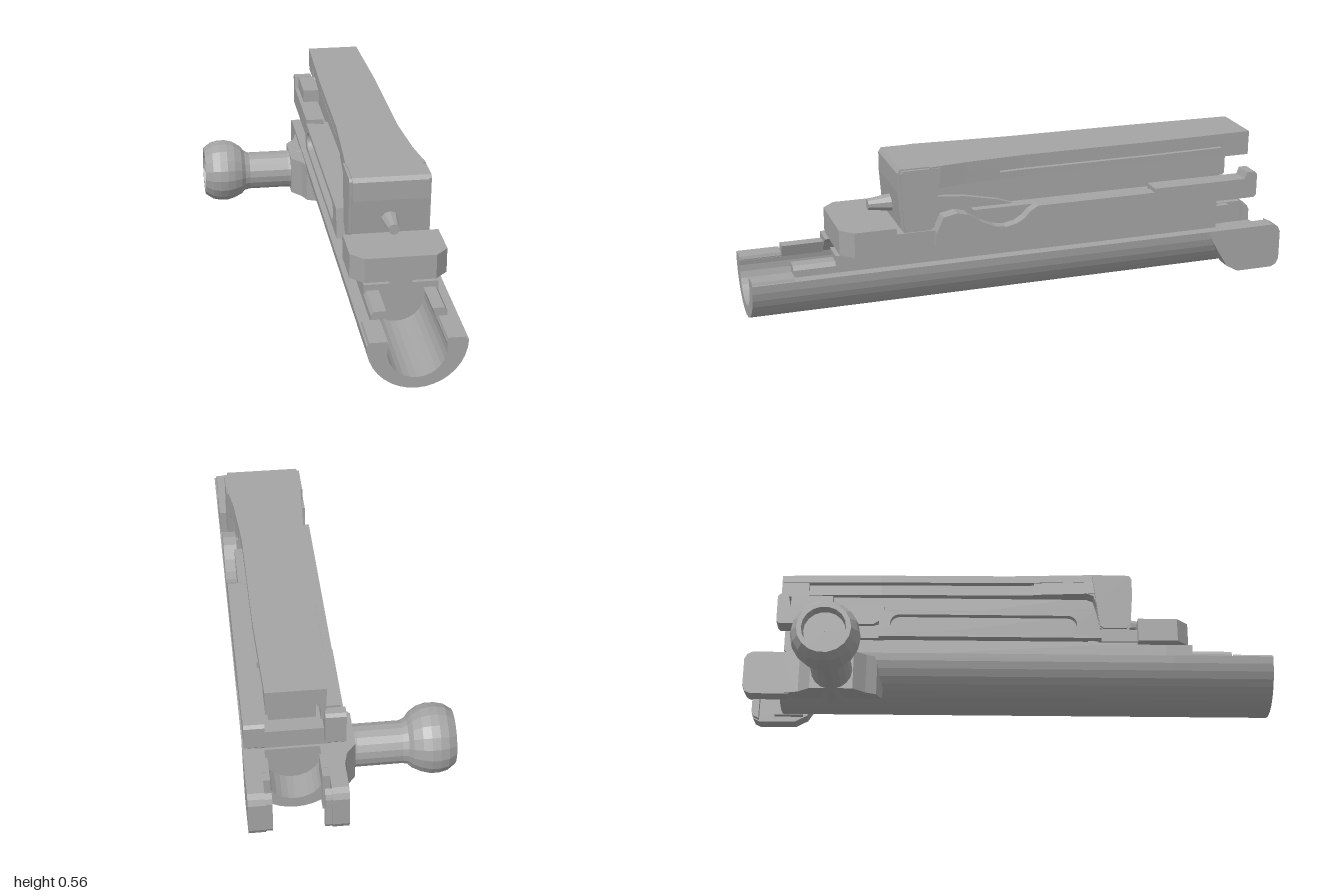
import * as THREE from 'three';

const steel = new THREE.MeshStandardMaterial({ color: 0xa4a4a4, flatShading: true, side: THREE.DoubleSide });
steel.name = 'steel grey';

export function createModel() {
  const group = new THREE.Group();
  const add = (name, geo) => {
    const mesh = new THREE.Mesh(geo, steel);
    mesh.name = name;
    group.add(mesh);
    return mesh;
  };
  const box = (name, x0, x1, y0, y1, z0, z1) =>
    add(name, new THREE.BoxGeometry(x1 - x0, y1 - y0, z1 - z0).translate((x0 + x1) / 2, (y0 + y1) / 2, (z0 + z1) / 2));
  const poly = (pts) => new THREE.Shape(pts.map(([a, b]) => new THREE.Vector2(a, b)));
  const extrude = (shape, depth) => new THREE.ExtrudeGeometry(shape, { depth, bevelEnabled: false, curveSegments: 16 });
  // Side profile of (z, y) points, running along x
  const sideShape = (pts) => poly(pts.map(([z, y]) => [-z, y]));
  const alongX = (name, shape, x0, x1) => add(name, extrude(shape, x1 - x0).rotateY(Math.PI / 2).translate(x0, 0, 0));
  // Plan outline of (x, z) points, running along y
  const alongY = (name, pts, y0, y1) =>
    add(name, extrude(poly(pts.map(([x, z]) => [x, -z])), y1 - y0).rotateX(-Math.PI / 2).translate(0, y0, 0));
  // Cross-section of (x, y) points, running along z
  const alongZ = (name, shape, z0, z1) => add(name, extrude(shape, z1 - z0).translate(0, 0, z0));

  const cx = 0.2;
  const arc = (r, y, a0, a1, n) => Array.from({ length: n + 1 }, (_, i) => {
    const a = a0 + (a1 - a0) * i / n;
    return [cx + r * Math.cos(a), y + r * Math.sin(a)];
  });
  const outer = arc(0.17, 0.21, Math.PI, 2 * Math.PI, 18);

  // Half-round carrier: solid middle, open troughs at both ends
  alongZ('carrierBody', poly(outer), -0.76, 0.62);
  const trough = poly([...outer, ...arc(0.1, 0.18, 0.305, -Math.PI - 0.305, 16)]);
  alongZ('frontTrough', trough, 0.62, 1);
  alongZ('rearTrough', trough, -0.87, -0.76);

  // Stepped shelves beside the front trough, hugging the bore
  for (const s of [-1, 1]) {
    const at = (d) => cx + s * d;
    alongZ('boreShelf', poly([[at(0.13), 0.21], [at(0.13), 0.272], [at(0.04), 0.272], [at(0.07), 0.251], [at(0.095), 0.21]]), 0.6, 0.7);
    alongZ('frontShelf', poly([[at(0.13), 0.205], [at(0.13), 0.235], [at(0.12), 0.25], [at(0.078), 0.25], [at(0.095), 0.205]]), 0.7, 0.85);
    alongZ('lowerLip', poly([[at(0.165), 0.205], [at(0.16), 0.22], [at(0.1), 0.22], [at(0.096), 0.205]]), 0.85, 1);
  }

  // Neck and deck above the carrier
  box('neck', 0.07, 0.33, 0.2, 0.285, -0.75, 0.62);
  alongY('frontBlock', [[0.03, 0.49], [0.03, 0.64], [0.075, 0.685], [0.325, 0.685], [0.37, 0.64], [0.37, 0.49]], 0.272, 0.363);
  box('deckBridge', 0.06, 0.34, 0.28, 0.33, 0.34, 0.5);
  box('rearDeck', 0.05, 0.35, 0.28, 0.335, -0.74, -0.48);
  box('deckCore', 0.075, 0.33, 0.28, 0.385, -0.5, 0.2);

  // Right deck wall with a curved scoop near the front
  alongX('scoopedWall', sideShape([
    [0.35, 0.28], [0.345, 0.33], [0.32, 0.385], [0.27, 0.395], [0.23, 0.385], [0.18, 0.352], [0.13, 0.33], [0.09, 0.324],
    [0.05, 0.332], [0.02, 0.35], [0, 0.372], [-0.03, 0.39], [-0.5, 0.39], [-0.5, 0.28],
  ]), 0.32, 0.37);
  alongX('scoopArm', sideShape([[0.33, 0.44], [0.22, 0.43], [0.1, 0.405], [0, 0.37], [0.05, 0.33], [0.33, 0.33]]), 0.1, 0.3);

  // Left deck wall with a long rounded recess
  const wall = sideShape([[0.35, 0.28], [0.33, 0.39], [-0.5, 0.39], [-0.5, 0.28]]);
  const recess = new THREE.Path();
  recess.absarc(0.42, 0.335, 0.037, -Math.PI / 2, Math.PI / 2, false);
  recess.absarc(-0.22, 0.335, 0.037, Math.PI / 2, Math.PI * 1.5, false);
  wall.holes.push(recess);
  alongX('recessedWall', wall, 0.03, 0.06);
  box('recessFloor', 0.055, 0.09, 0.282, 0.388, -0.49, 0.3);

  // Rear rails with raised ends
  const rail = (top) => sideShape([[-0.48, 0.39], [-0.49, 0.35], [-0.52, 0.33], [-0.88, 0.33], [-0.89, 0.34],
    [-0.89, top - 0.01], [-0.88, top], [-0.85, top], [-0.84, 0.405], [-0.48, 0.405]]);
  alongX('rightRail', rail(0.43), 0.3, 0.37);
  alongX('leftRail', rail(0.455), 0.03, 0.1);
  box('leftRailBlock', 0.045, 0.11, 0.4, 0.455, -0.84, -0.68);
  box('railFloor', 0.09, 0.31, 0.33, 0.36, -0.84, -0.48);

  // Inner core under the top beam
  box('innerCore', 0.12, 0.28, 0.33, 0.5, -0.78, 0.34);

  // Top beam, wider at the front, with a side groove and arched rear end
  const plan = (d) => [[0.06 + d, 0.36], [0.345 - d, 0.36], [0.325 - d, 0.22], [0.31 - d, 0], [0.308 - d, -0.5],
    [0.297 - d, -0.885], [0.095 + d, -0.885], [0.085 + d, -0.5], [0.08 + d, 0]];
  alongY('beamTop', plan(0), 0.535, 0.565);
  alongY('beamGroove', plan(0.025), 0.505, 0.54);
  const full = [[0.06, 0.36], [0.345, 0.36], [0.325, 0.22], [0.315, 0.095], [0.08, 0.095]];
  alongY('beamFront', full, 0.485, 0.54);
  alongY('beamLowerLip', plan(0.008).map(([x, z]) => [x, Math.max(z, -0.84)]), 0.485, 0.508);
  for (const s of [-1, 1]) {
    const at = (d) => 0.196 + s * d;
    alongZ('rearArchSide', poly([[at(0.1), 0.54], [at(0.1), 0.475], [at(0.085), 0.475], [at(0.065), 0.505], [at(0.03), 0.525], [at(0), 0.53], [at(0), 0.54]]), -0.885, -0.78);
  }

  // Front head dropping down from the beam, with a tapered pin
  alongX('head', sideShape([[0.475, 0.55], [0.465, 0.565], [0.3, 0.565], [0.3, 0.485], [0.325, 0.475], [0.335, 0.44],
    [0.345, 0.34], [0.36, 0.33], [0.455, 0.33], [0.465, 0.345], [0.475, 0.48]]), 0.065, 0.335);
  for (const x of [0.055, 0.334]) {
    alongX('headCheek', sideShape([[0.465, 0.55], [0.458, 0.56], [0.32, 0.56], [0.335, 0.44], [0.347, 0.345], [0.36, 0.335],
      [0.45, 0.335], [0.456, 0.35]]), x, x + 0.012);
  }
  add('frontPin', new THREE.CylinderGeometry(0.02, 0.033, 0.085, 10).rotateX(Math.PI / 2).translate(0.2, 0.402, 0.51));

  // Rear prongs with flared fronts and inner lips
  const prong = sideShape([[-0.7, 0.21], [-0.745, 0.13], [-0.785, 0.065], [-0.83, 0.04], [-0.97, 0.04], [-0.99, 0.05], [-1, 0.07],
    [-1, 0.18], [-0.99, 0.2], [-0.97, 0.21]]);
  const lip = sideShape([[-0.97, 0.045], [-0.99, 0.055], [-0.998, 0.07], [-0.998, 0.18], [-0.99, 0.197], [-0.97, 0.207]]);
  for (const [x0, x1, l0, l1] of [[0.03, 0.088, 0.085, 0.112], [0.312, 0.37, 0.288, 0.315]]) {
    alongX('rearProng', prong, x0, x1);
    alongX('prongLip', lip, l0, l1);
    box('prongStep', l0, l1, 0.06, 0.208, -0.91, -0.8);
  }

  // Handle: flared root, round neck and hollow-ended ball
  alongY('handleRoot', [[0.08, -0.48], [0.035, -0.5], [0.018, -0.54], [-0.02, -0.585], [-0.02, -0.745], [0.015, -0.79],
    [0.035, -0.87], [0.08, -0.87]], 0.042, 0.195);
  const profile = [[0.001, -0.1], [0.085, -0.1], [0.082, -0.02], [0.076, 0.03], [0.076, 0.19], [0.083, 0.21], [0.1, 0.225], [0.117, 0.255],
    [0.125, 0.285], [0.125, 0.315], [0.118, 0.345], [0.097, 0.375], [0.08, 0.375], [0.075, 0.34], [0.001, 0.34]];
  const handle = new THREE.LatheGeometry(profile.map(([r, d]) => new THREE.Vector2(r, d)), 18).rotateZ(Math.PI / 2);
  // Ball sits slightly higher than the neck
  const p = handle.attributes.position;
  for (let i = 0; i < p.count; i++) {
    const t = THREE.MathUtils.smoothstep(-p.getX(i), 0.18, 0.25);
    p.setY(i, p.getY(i) + 0.116 + 0.009 * t);
    p.setZ(i, p.getZ(i) - 0.665);
  }
  add('handle', handle);

  return group;
}
